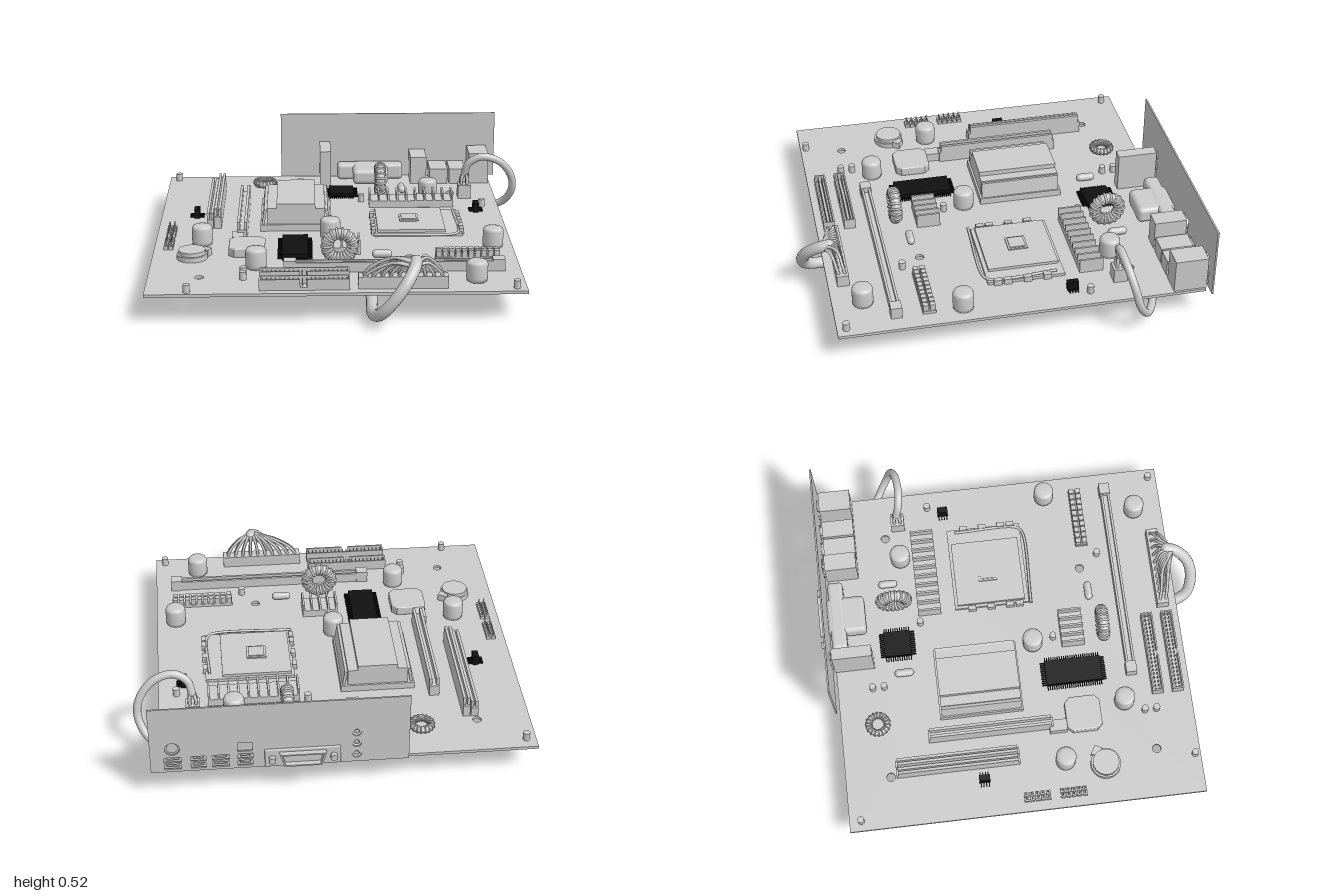
import * as THREE from 'three';
import { RoundedBoxGeometry } from 'three/addons/geometries/RoundedBoxGeometry.js';

const TOP = 0.155; // upper surface of the circuit board
const grey = new THREE.MeshStandardMaterial({ color: 0xcccccc, side: THREE.DoubleSide });
const black = new THREE.MeshStandardMaterial({ color: 0x111111 });

export function createModel() {
  const root = new THREE.Group();
  const add = (name, geo, x = 0, y = 0, z = 0, mat = grey, parent = root) => {
    const m = new THREE.Mesh(geo, mat);
    m.name = name;
    m.position.set(x, y, z);
    parent.add(m);
    return m;
  };
  // Box given by its extents
  const box = (name, x0, x1, y0, y1, z0, z1, mat) =>
    add(name, new THREE.BoxGeometry(x1 - x0, y1 - y0, z1 - z0), (x0 + x1) / 2, (y0 + y1) / 2, (z0 + z1) / 2, mat);
  const cyl = (name, x, z, r, y0, y1, mat) =>
    add(name, new THREE.CylinderGeometry(r, r, y1 - y0, 24), x, (y0 + y1) / 2, z, mat);
  const tube = (name, pts, r, seg = 60, sides = 16) => {
    const v = pts.map(p => new THREE.Vector3(...p));
    const curve = new THREE.CatmullRomCurve3(v, false, 'centripetal');
    add(name, new THREE.TubeGeometry(curve, seg, r, sides));
    // Rounded cable ends
    if (r > 0.015) [v[0], v[v.length - 1]].forEach(p => add(name + 'End', new THREE.SphereGeometry(r, 16, 10), p.x, p.y, p.z));
  };
  const rectShape = (x0, y0, x1, y1, S = THREE.Shape) =>
    new S([[x0, y0], [x1, y0], [x1, y1], [x0, y1]].map(p => new THREE.Vector2(...p)));
  const circleHole = (x, y, r) => new THREE.Path().absarc(x, y, r, 0, Math.PI * 2, true);
  const extrude = (shape, depth, bevel = 0) => new THREE.ExtrudeGeometry(shape, {
    depth, curveSegments: 12, bevelEnabled: bevel > 0, bevelSize: bevel, bevelThickness: bevel, bevelSegments: 3 });

  // Circuit board with mounting holes (shape drawn in x, -z)
  const board = rectShape(-0.97, -0.87, 0.84, 0.94);
  [[-0.71, -0.71], [0.6, -0.62], [0.31, 0.39], [-0.72, 0.65]].forEach(([x, z]) => board.holes.push(circleHole(x, -z, 0.022)));
  add('circuitBoard', extrude(board, 0.015).rotateX(-Math.PI / 2), 0, 0.14, 0);

  // Rear plate with port cutouts
  const plate = rectShape(-0.34, 0.15, 0.88, 0.52);
  const cut = (x0, y0, x1, y1) => plate.holes.push(rectShape(x0, y0, x1, y1, THREE.Path));
  [[0.40, 0.47], [0.51, 0.59], [0.62, 0.69], [0.735, 0.815]].forEach(([a, b], i) => {
    cut(a, 0.165, b, 0.195);
    cut(a, 0.205, b, 0.235);
    if (i === 0) cut(a, 0.25, b, 0.3);
    if (i === 3) plate.holes.push(circleHole(0.775, 0.285, 0.035));
    box('portTongue', a + 0.01, b - 0.01, 0.177, 0.184, -0.96, -0.93);
    box('portTongue', a + 0.01, b - 0.01, 0.217, 0.224, -0.96, -0.93);
  });
  [0.195, 0.26, 0.325].forEach(y => {
    plate.holes.push(circleHole(-0.09, y, 0.022));
    add('audioJack', new THREE.TorusGeometry(0.018, 0.006, 8, 20), -0.09, y, -0.955);
  });
  add('rearPlate', extrude(plate, 0.008), 0, 0, -0.964);

  // Port housings behind the plate
  [[0.39, 0.48, 0.31], [0.50, 0.60, 0.24], [0.61, 0.70, 0.24], [0.72, 0.83, 0.33]].forEach(([a, b, h]) =>
    box('portHousing', a, b, TOP, h, -0.945, -0.78));
  add('roundPort', new THREE.CylinderGeometry(0.028, 0.028, 0.02, 20).rotateX(Math.PI / 2), 0.775, 0.285, -0.945);
  box('audioHousing', -0.12, -0.06, TOP, 0.36, -0.945, -0.74);

  // Video connector: stepped body, flange, shell and screw posts
  const shell = (w, h, d, r) => new RoundedBoxGeometry(w, h, d, 3, r);
  add('videoConnectorBody', shell(0.37, 0.09, 0.08, 0.02), 0.165, 0.2, -0.905);
  add('videoConnectorNeck', shell(0.2, 0.085, 0.2, 0.025), 0.165, 0.2, -0.86);
  add('videoConnectorFlange', shell(0.36, 0.1, 0.012, 0.005), 0.165, 0.205, -0.968);
  const dShape = new THREE.Shape();
  dShape.moveTo(-0.11, 0.035).lineTo(0.11, 0.035).lineTo(0.09, -0.035).lineTo(-0.09, -0.035).closePath();
  const dHole = new THREE.Path();
  dHole.moveTo(-0.1, 0.028).lineTo(-0.083, -0.028).lineTo(0.083, -0.028).lineTo(0.1, 0.028).closePath();
  dShape.holes.push(dHole);
  add('videoConnectorShell', extrude(dShape, 0.034), 0.165, 0.205, -1);
  for (const x of [0.02, 0.31])
    add('screwPost', new THREE.CylinderGeometry(0.018, 0.018, 0.04, 6).rotateX(Math.PI / 2), x, 0.205, -0.98);

  // Round capacitors, small posts and corner pegs
  [[-0.73, 0.18], [-0.45, 0.52], [-0.08, 0.09], [0.47, -0.55], [0.74, 0.25], [0.61, 0.72]].forEach(([x, z]) => {
    const profile = [[0, 0], [0.05, 0], [0.052, 0.02], [0.052, 0.085], [0.046, 0.098], [0.03, 0.102], [0, 0.102]];
    add('capacitor', new THREE.LatheGeometry(profile.map(p => new THREE.Vector2(...p)), 28), x, TOP, z);
  });
  [[-0.23, -0.76], [-0.23, -0.7], [0.1, -0.48], [0.75, -0.38], [-0.06, 0.2], [-0.51, 0.62], [-0.51, 0.68], [0.38, 0.49],
    [-0.92, -0.88], [-0.77, 0.84], [0.79, 0.825]].forEach(([x, z]) => cyl('smallPost', x, z, 0.017, TOP, 0.195));
  // Oval crystals
  [[-0.17, -0.59, 0], [0.33, -0.63, 0], [0.17, 0.415, 1]].forEach(([x, z, turn]) => {
    const m = add('crystal', new THREE.CapsuleGeometry(0.02, 0.06, 6, 16).rotateX(Math.PI / 2), x, 0.18, z);
    m.rotation.y = turn * Math.PI / 2;
  });
  // Coin battery in its holder
  cyl('batteryHolder', -0.77, 0.38, 0.077, TOP, 0.18);
  cyl('battery', -0.77, 0.38, 0.067, 0.18, 0.2);
  box('batteryClip', -0.73, -0.68, TOP, 0.19, 0.32, 0.36).rotation.y = -0.5;

  // Wound ring coils
  const coil = (x, y, z, R, r, rx, ry) => {
    const g = new THREE.Group();
    g.name = 'ringCoil';
    add('coilCore', new THREE.TorusGeometry(R, r, 10, 32), 0, 0, 0, grey, g);
    for (let i = 0; i < 18; i++) {
      const a = i / 18 * Math.PI * 2;
      const w = add('coilWinding', new THREE.TorusGeometry(r, r * 0.25, 6, 14).rotateX(Math.PI / 2), R * Math.cos(a), R * Math.sin(a), 0, grey, g);
      w.rotation.z = a;
    }
    g.position.set(x, y, z);
    g.rotation.set(rx, ry, 0);
    root.add(g);
  };
  coil(-0.43, 0.18, -0.75, 0.047, 0.016, Math.PI / 2, 0);
  coil(-0.04, 0.24, 0.46, 0.065, 0.026, 0, 0);
  coil(0.21, 0.24, -0.605, 0.065, 0.026, 0, Math.PI / 2);

  // Black chips with pins on their edges
  const chip = (x, z, w, d, nx, nz, h) => {
    box('chip', x - w / 2, x + w / 2, TOP, TOP + h, z - d / 2, z + d / 2, black);
    for (const s of [-1, 1]) {
      for (let i = 0; i < nx; i++)
        add('chipPin', new THREE.BoxGeometry(0.005, 0.01, 0.024), x + ((i + 0.5) / nx - 0.5) * w, TOP + 0.008, z + s * (d / 2 + 0.01), black);
      for (let i = 0; i < nz; i++)
        add('chipPin', new THREE.BoxGeometry(0.024, 0.01, 0.005), x + s * (w / 2 + 0.01), TOP + 0.008, z + ((i + 0.5) / nz - 0.5) * d, black);
    }
  };
  chip(-0.005, -0.61, 0.135, 0.14, 12, 12, 0.025);
  chip(-0.26, 0.28, 0.13, 0.29, 12, 26, 0.03);
  chip(-0.78, -0.24, 0.03, 0.055, 0, 4, 0.05);
  chip(0.71, -0.3, 0.03, 0.055, 0, 4, 0.05);

  // Stepped heat sink
  box('heatSinkBase', -0.44, -0.07, TOP, 0.19, -0.43, 0);
  box('heatSinkBlock', -0.355, -0.155, 0.19, 0.3, -0.42, -0.01);
  for (const s of [-1, 1]) {
    box('heatSinkStep', -0.255 + s * 0.125 - 0.025, -0.255 + s * 0.125 + 0.025, 0.19, 0.275, -0.42, -0.01);
    add('heatSinkFin', new THREE.BoxGeometry(0.014, 0.09, 0.41), -0.255 + s * 0.165, 0.225, -0.215).rotation.z = s * 0.15;
  }

  // Long card slots
  const slot = (name, x0, x1, z0, z1, h) => {
    box(name + 'Base', x0, x1, TOP, TOP + h * 0.6, z0, z1);
    for (const x of [x0, x1 - 0.014]) box(name + 'Wall', x, x + 0.014, TOP, TOP + h, z0 + 0.01, z1 - 0.01);
  };
  slot('cardSlotLong', -0.72, -0.685, -0.68, -0.05, 0.08);
  slot('cardSlotLong', -0.68, -0.645, -0.68, -0.05, 0.105);
  slot('cardSlotShort', -0.555, -0.505, -0.5, 0.14, 0.095);
  box('cardSlotLatch', -0.58, -0.52, TOP, 0.2, 0.12, 0.21);
  box('memorySlotBase', -0.3, 0.74, TOP, 0.185, 0.56, 0.6);
  for (const z of [0.555, 0.59]) box('memorySlotWall', -0.27, 0.71, TOP, 0.205, z, z + 0.012);
  for (const x of [-0.315, 0.7]) box('memorySlotLatch', x, x + 0.06, TOP, 0.215, 0.55, 0.605);

  // Processor socket
  box('socketBase', 0.15, 0.6, TOP, 0.17, -0.29, 0.1);
  box('socketPlate', 0.165, 0.515, 0.17, 0.185, -0.275, 0.08);
  box('socketCentre', 0.285, 0.385, 0.185, 0.192, -0.15, -0.05);
  box('socketDie', 0.295, 0.375, 0.192, 0.197, -0.14, -0.06);
  for (const z of [-0.2, -0.1, 0, 0.05]) for (const x of [0.145, 0.6]) box('socketTab', x - 0.012, x + 0.012, TOP, 0.185, z - 0.02, z + 0.02);
  tube('socketLever', [[0.14, 0.17, 0.11], [0.55, 0.17, 0.11], [0.58, 0.17, 0.08], [0.58, 0.18, -0.25]], 0.007, 30, 8);

  // Finned power blocks
  const fins = (name, x0, x1, z0, z1, n, h) => {
    box(name + 'Base', x0, x1, TOP, TOP + h * 0.5, z0, z1);
    for (let i = 0; i <= n; i++) {
      const x = x0 + (x1 - x0 - 0.01) * i / n;
      box(name + 'Fin', x, x + 0.01, TOP, TOP + h, z0, z1);
    }
  };
  fins('powerBlock', 0.14, 0.595, -0.485, -0.365, 9, 0.075);
  fins('smallBlock', -0.12, 0.065, 0.24, 0.36, 4, 0.075);

  // Square buzzer with clipped corners
  const oct = new THREE.Shape([[-0.09, -0.065], [-0.065, -0.09], [0.065, -0.09], [0.09, -0.065], [0.09, 0.065], [0.065, 0.09],
    [-0.065, 0.09], [-0.09, 0.065]].map(p => new THREE.Vector2(...p).multiplyScalar(0.93)));
  add('cornerClippedChip', extrude(oct, 0.035, 0.007).rotateX(-Math.PI / 2), -0.5, TOP + 0.007, 0.3);

  // Open drive headers with pins
  for (const z of [0.67, 0.775]) {
    box('driveHeaderFloor', -0.43, 0, TOP, 0.17, z, z + 0.058);
    for (const e of [0, 0.05]) for (const [a, b] of [[-0.43, e ? -0.235 : 0], [-0.2, 0]])
      box('driveHeaderWall', a, b, TOP, 0.21, z + e, z + e + 0.008);
    for (const x of [-0.43, -0.008]) box('driveHeaderEnd', x, x + 0.008, TOP, 0.21, z, z + 0.058);
    for (let i = 0; i < 20; i++) for (const r of [0.02, 0.038])
      add('headerPin', new THREE.BoxGeometry(0.005, 0.035, 0.005), -0.415 + i * 0.0211, 0.185, z + r);
  }
  // Block header of small cells, and edge pin headers
  box('cellHeaderBase', 0.435, 0.755, TOP, 0.17, 0.385, 0.45);
  for (let i = 0; i < 10; i++) for (const z of [0.4, 0.434])
    add('headerCell', new THREE.BoxGeometry(0.026, 0.045, 0.026), 0.451 + i * 0.032, 0.18, z);
  for (const z0 of [-0.055, 0.13]) for (let i = 0; i < 5; i++) for (const x of [-0.91, -0.885]) {
    add('edgeHeaderBlock', new THREE.BoxGeometry(0.022, 0.018, 0.022), x, TOP + 0.009, z0 + 0.014 + i * 0.028);
    add('edgeHeaderPin', new THREE.BoxGeometry(0.006, 0.045, 0.006), x, TOP + 0.022, z0 + 0.014 + i * 0.028);
  }

  // Main power plug, its fanned wires and thick cable
  box('powerPlug', 0.04, 0.465, TOP, 0.215, 0.765, 0.825);
  for (let i = 0; i < 10; i++) for (const [k, z] of [0.78, 0.81].entries()) {
    const x = 0.06 + i * 0.0425, t = (i - 4.5) / 4.5, end = 0.3 + t * 0.014;
    tube('powerWire', [[x, 0.205, z], [x + (end - x) * 0.15, 0.25 - k * 0.01, z + 0.01],
      [x + (end - x) * 0.6, 0.305 - k * 0.015, z + 0.03], [end, 0.305 - k * 0.02, 0.87]], 0.008, 16, 6);
  }
  tube('powerCable', [[0.31, 0.3, 0.84], [0.3, 0.285, 0.89], [0.26, 0.23, 0.95], [0.2, 0.15, 0.97], [0.14, 0.075, 0.945],
    [0.11, 0.045, 0.87], [0.11, 0.036, 0.6], [0.1, 0.03, 0.235]], 0.029);

  // Side power plug with its looping cable
  box('sidePlug', 0.635, 0.705, TOP, 0.23, -0.58, -0.51);
  for (const x of [0.655, 0.685]) for (const z of [-0.56, -0.53])
    tube('sideWire', [[x, 0.22, z], [x, 0.26, z], [0.675, 0.31, -0.542]], 0.009, 10, 8);
  tube('sideCable', [[0.672, 0.29, -0.545], [0.69, 0.35, -0.53], [0.76, 0.39, -0.52], [0.86, 0.36, -0.53], [0.93, 0.27, -0.555],
    [0.938, 0.18, -0.58], [0.89, 0.095, -0.63], [0.8, 0.065, -0.68], [0.64, 0.05, -0.735]], 0.02);
  return root;
}
